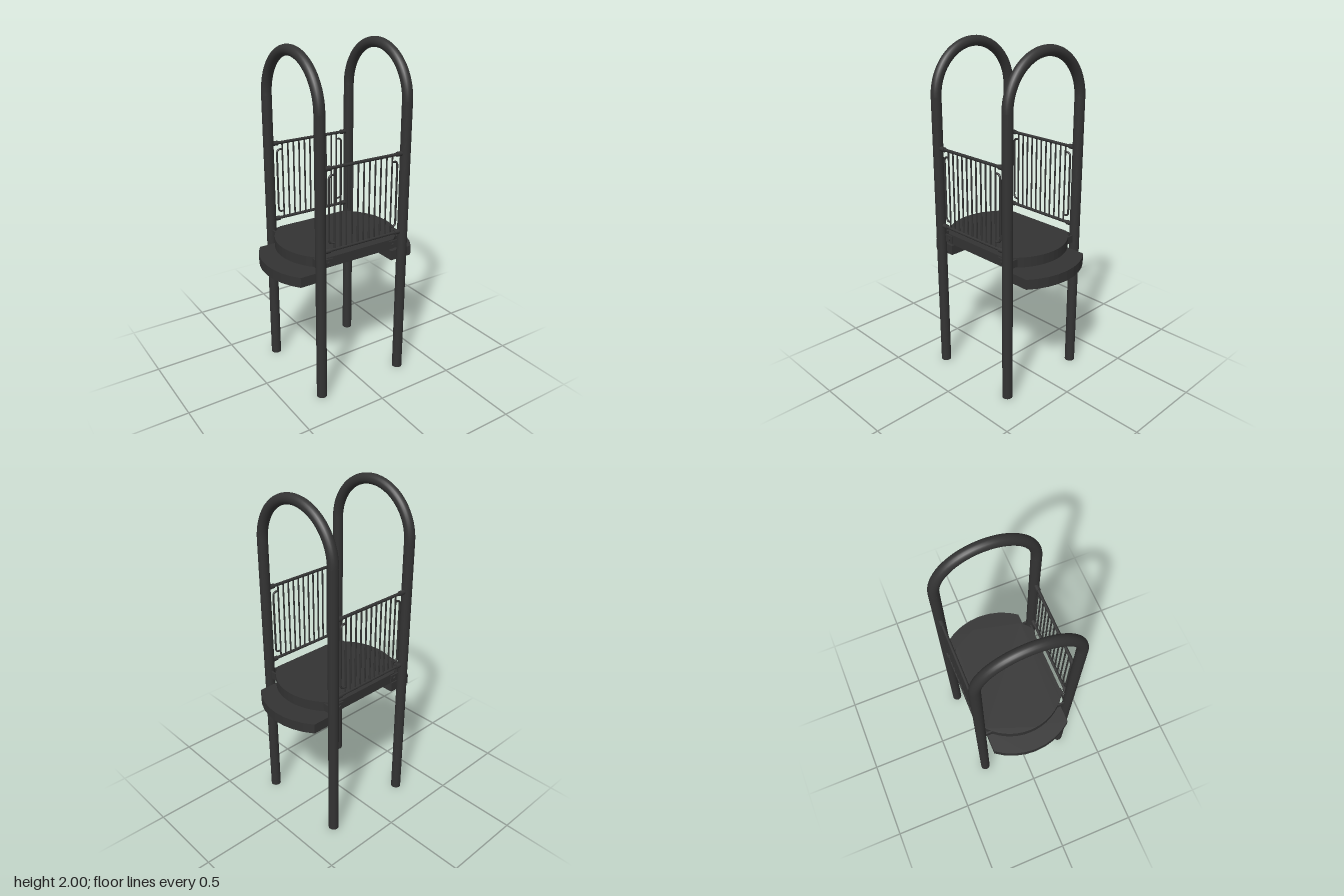
import * as THREE from 'three';

const mat = new THREE.MeshStandardMaterial({ color: 0x333333, side: THREE.DoubleSide });
const POST = 0.28; // post offset in x and z

function add(parent, name, geo, x = 0, y = 0, z = 0) {
  const m = new THREE.Mesh(geo, mat);
  m.name = name;
  m.position.set(x, y, z);
  parent.add(m);
  return m;
}

// Points of a bowed edge from (x0, -half) through (x1, 0) to (x0, half)
function bow(x0, x1, half, n) {
  const s = x1 - x0, r = (half * half + s * s) / (2 * s), a = Math.asin(half / r);
  return Array.from({ length: n + 1 }, (_, i) => {
    const t = a * (2 * i / n - 1);
    return new THREE.Vector2(x1 - r + r * Math.cos(t), r * Math.sin(t));
  });
}

// Tray open underneath: thin top plate and a skirt around its outline
function tray(name, outline, bottom, top) {
  const g = new THREE.Group();
  g.name = name;
  const t = 0.006;
  const slab = (shape, depth, y, part) => {
    const geo = new THREE.ExtrudeGeometry(shape, { depth, bevelEnabled: false });
    geo.rotateX(-Math.PI / 2);
    add(g, part, geo, 0, y, 0);
  };
  slab(new THREE.Shape(outline), t, top - t, name + 'Plate');
  const box = new THREE.Box2().setFromPoints(outline);
  const c = box.getCenter(new THREE.Vector2()), s = box.getSize(new THREE.Vector2());
  const rim = new THREE.Shape(outline);
  rim.holes.push(new THREE.Path(outline.map(p => new THREE.Vector2(
    c.x + (p.x - c.x) * (1 - 2 * t / s.x), c.y + (p.y - c.y) * (1 - 2 * t / s.y)))));
  slab(rim, top - t - bottom, bottom, name + 'Skirt');
  return g;
}

// Hoop: two legs joined by a half-circle
function hoop(x) {
  const path = new THREE.CurvePath();
  const V = (y, z) => new THREE.Vector3(0, y, z);
  const g = new THREE.Group();
  g.name = 'hoop';
  const spring = 1.97 - POST;
  for (const s of [-1, 1])
    add(g, 'post', new THREE.CylinderGeometry(0.03, 0.03, spring, 24), 0, spring / 2, s * POST);
  const arch = new THREE.TorusGeometry(POST, 0.03, 20, 36, Math.PI);
  arch.rotateY(Math.PI / 2);
  add(g, 'arch', arch, 0, spring, 0);
  g.position.x = x;
  return g;
}

// Guard rail: two rails, upright bars, end grips and clamps
function guardRail(z) {
  const g = new THREE.Group();
  g.name = 'guardRail';
  const low = 0.93, high = 1.4;
  for (const y of [low, high]) {
    const rail = new THREE.CylinderGeometry(0.009, 0.009, 0.5, 12).rotateZ(Math.PI / 2);
    add(g, 'rail', rail, 0, y, 0);
    for (const s of [-1, 1]) {
      const clamp = new THREE.CylinderGeometry(0.014, 0.014, 0.036, 12).rotateZ(Math.PI / 2);
      add(g, 'railClamp', clamp, s * 0.238, y, 0);
    }
  }
  for (let i = -5; i <= 5; i++)
    add(g, 'bar', new THREE.CylinderGeometry(0.005, 0.005, high - low, 10), i * 0.038, (low + high) / 2, 0);
  for (const s of [-1, 1]) {
    const V = (x, y) => new THREE.Vector3(s * x, y, 0);
    const path = new THREE.CurvePath();
    path.add(new THREE.LineCurve3(V(0.19, 0.97), V(0.203, 0.97)));
    path.add(new THREE.QuadraticBezierCurve3(V(0.203, 0.97), V(0.226, 0.97), V(0.226, 0.995)));
    path.add(new THREE.LineCurve3(V(0.226, 0.995), V(0.226, 1.335)));
    path.add(new THREE.QuadraticBezierCurve3(V(0.226, 1.335), V(0.226, 1.36), V(0.203, 1.36)));
    path.add(new THREE.LineCurve3(V(0.203, 1.36), V(0.19, 1.36)));
    add(g, 'grip', new THREE.TubeGeometry(path, 80, 0.006, 8), 0, 0, 0);
  }
  g.position.z = z;
  return g;
}

export function createModel() {
  const model = new THREE.Group();
  model.name = 'playTower';

  // Deck with bowed ends
  const end = bow(0.23, 0.367, 0.264, 16);
  const deckOutline = [...end, ...end.map(p => new THREE.Vector2(-p.x, -p.y))];
  model.add(tray('deck', deckOutline, 0.82, 0.88));

  for (const s of [-1, 1]) {
    model.add(hoop(s * POST));
    model.add(guardRail(s * POST));

    // Step below each bowed end
    const step = tray('step', [
      new THREE.Vector2(0.237, -0.24), ...bow(0.384, 0.467, 0.24, 8), new THREE.Vector2(0.237, 0.24),
    ], 0.73, 0.79);
    if (s < 0) step.rotation.y = Math.PI;
    model.add(step);

    // Brackets and bolts fixing the deck to the posts
    for (const k of [-1, 1]) {
      add(model, 'deckBracket', new THREE.BoxGeometry(0.06, 0.046, 0.01), s * 0.225, 0.85, k * 0.267);
      add(model, 'bracketBolt',
        new THREE.CylinderGeometry(0.01, 0.01, 0.008, 12).rotateX(Math.PI / 2), s * 0.222, 0.85, k * 0.275);
      add(model, 'sideBracket', new THREE.BoxGeometry(0.01, 0.046, 0.045), s * 0.285, 0.85, k * 0.235);
    }
  }
  return model;
}
